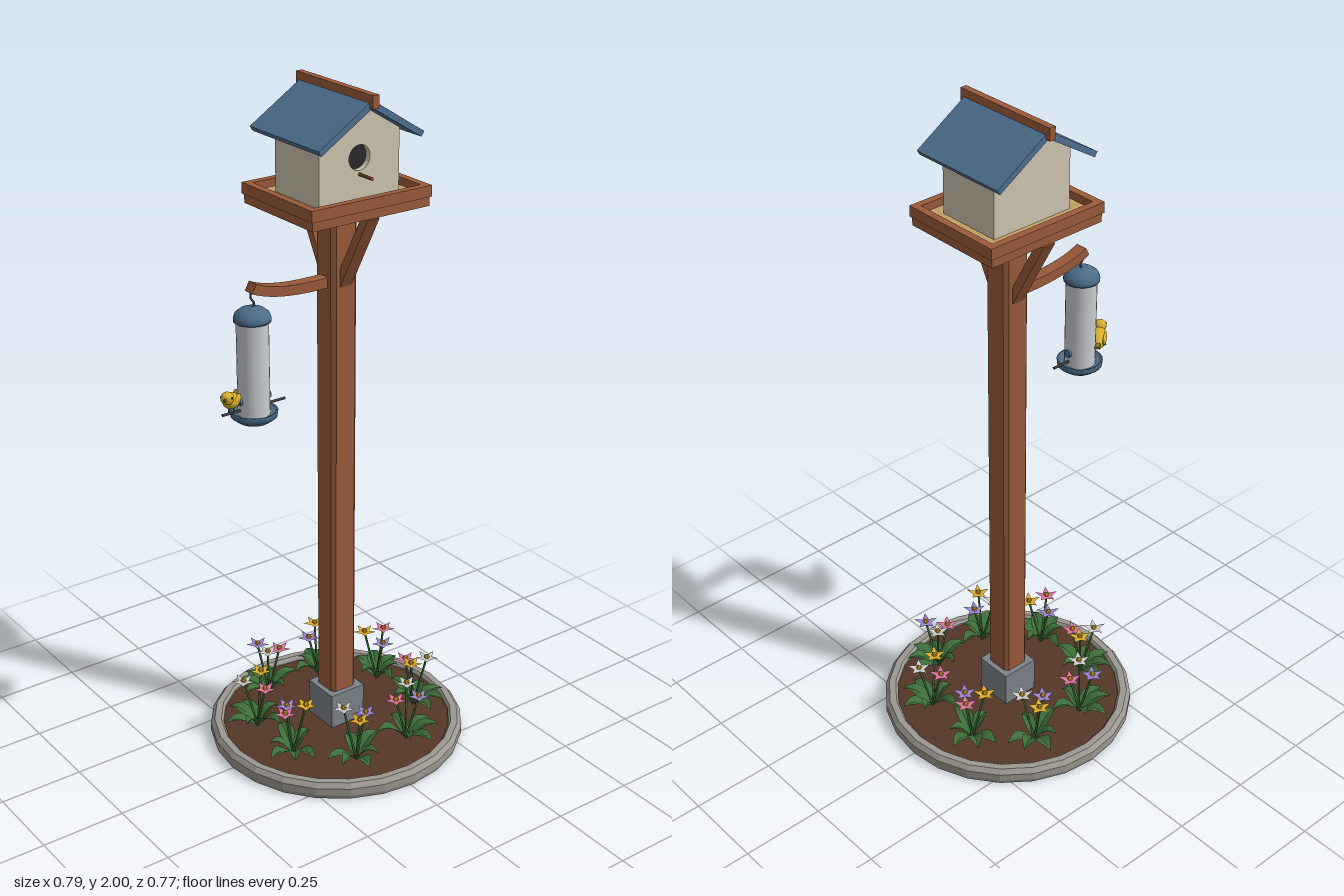
import * as THREE from 'three';

const CX = 0.008; // axis of the post and planter
const mat = (color, extra = {}) => new THREE.MeshStandardMaterial({ color, ...extra });
const flat = { flatShading: true };
const both = { flatShading: true, side: THREE.DoubleSide };
const M = {
  wood: mat(0x9a5b3a, flat), roof: mat(0x4f7090, flat), wall: mat(0xcfc5b0, flat),
  stone: mat(0x9c9891, flat), soil: mat(0x553828, flat), concrete: mat(0x7d838b, flat),
  dark: mat(0x2a2a2c), seed: mat(0xc2a065, flat), metal: mat(0x4b6c88), wire: mat(0x3a3d42),
  glass: mat(0xc9cdd1), bird: mat(0xd9b02c), wing: mat(0x8a7420), beak: mat(0x6a5530),
  leaf: mat(0x3d6e3a, both), stem: mat(0x3f7038),
  pink: mat(0xe0719f, both), purple: mat(0x9a84d6, both), gold: mat(0xe0ae2c, both),
  white: mat(0xcfcfcf, both), heart: mat(0xdba526, flat),
};

function add(parent, name, geo, material, x = 0, y = 0, z = 0) {
  const m = new THREE.Mesh(geo, material);
  m.name = name;
  m.position.set(x, y, z);
  parent.add(m);
  return m;
}
const box = (w, h, d) => new THREE.BoxGeometry(w, h, d);
const cyl = (r1, r2, h, n = 16) => new THREE.CylinderGeometry(r1, r2, h, n);
const lathe = (pts, n) => new THREE.LatheGeometry(pts.map(p => new THREE.Vector2(...p)), n);
const outline = pts => new THREE.Shape(pts.map(p => new THREE.Vector2(...p)));
const extrude = (shape, depth) => new THREE.ExtrudeGeometry(shape, { depth, bevelEnabled: false });

// Folded, arching leaf that grows along +x
function leafGeometry(len, width, rise) {
  const pos = [], idx = [], n = 5;
  for (let i = 0; i <= n; i++) {
    const t = i / n, w = width / 2 * Math.sin(Math.PI * Math.pow(t, 0.8));
    const y = rise * Math.sin(t * 2.1);
    pos.push(len * t, y + w * 0.35, -w, len * t, y, 0, len * t, y + w * 0.35, w);
    if (i < n) for (let j = 0; j < 2; j++) {
      const a = i * 3 + j;
      idx.push(a, a + 1, a + 3, a + 1, a + 4, a + 3);
    }
  }
  return indexed(pos, idx);
}

// Five pointed petals with a raised rib along each one
function bloomGeometry(r) {
  const pos = [0, 0, 0], idx = [];
  for (let i = 0; i < 10; i++) {
    const a = i * Math.PI / 5, tip = i % 2 === 0, q = tip ? r : r * 0.45;
    pos.push(Math.sin(a) * q, tip ? 0.006 : 0, Math.cos(a) * q);
    idx.push(0, 1 + i, 1 + (i + 1) % 10);
  }
  return indexed(pos, idx);
}
function indexed(pos, idx) {
  const g = new THREE.BufferGeometry();
  g.setAttribute('position', new THREE.Float32BufferAttribute(pos, 3));
  g.setIndex(idx);
  g.computeVertexNormals();
  return g;
}

function planter() {
  const g = new THREE.Group();
  g.name = 'planter';
  add(g, 'stoneRing', lathe([[0.345, 0.0], [0.38, 0], [0.384, 0.012], [0.384, 0.035],
    [0.372, 0.049], [0.352, 0.049], [0.345, 0.04], [0.345, 0.0]], 24), M.stone);
  add(g, 'soil', lathe([[0, 0.01], [0.348, 0.01], [0.348, 0.034], [0.2, 0.043], [0, 0.047]], 24), M.soil);
  add(g, 'postFooting', box(0.118, 0.15, 0.118), M.concrete, 0, 0.081, 0);

  // One planting, mirrored into the eight octants
  const leaf = leafGeometry(0.1, 0.048, 0.04), bloom = bloomGeometry(0.037);
  const spots = [[0.109, 0.264, 0.2], [0.056, 0.222, 0.185], [0.117, 0.196, 0.208]];
  const leafAngles = [76, 30, 190, -6, 118, 262];
  const base = [0.093, 0.227];
  const colors = { // keyed by swap, sign of x, sign of z
    '0--': 'purple pink white', '01-': 'gold purple white', '011': 'purple pink white', '0-1': 'gold purple white',
    '11-': 'pink purple gold', '111': 'white pink gold', '1-1': 'pink purple gold', '1--': 'white pink gold',
  };
  for (const swap of [0, 1]) for (const sx of [1, -1]) for (const sz of [1, -1]) {
    const map = (a, b) => swap ? [sx * b, sz * a] : [sx * a, sz * b];
    const key = swap + (sx > 0 ? '1' : '-') + (sz > 0 ? '1' : '-');
    const hues = colors[key].split(' ');
    const plant = new THREE.Group();
    plant.name = 'flowerClump';
    g.add(plant);
    const [bx, bz] = map(...base);
    leafAngles.forEach((deg, i) => {
      const a = deg * Math.PI / 180, [dx, dz] = map(Math.cos(a), Math.sin(a));
      const l = add(plant, 'leaf', leaf, M.leaf, bx, 0.04, bz);
      l.rotation.y = Math.atan2(-dz, dx);
      l.scale.set(i > 3 ? 0.7 : 1, 1 + 0.2 * (i % 3), i > 3 ? 0.8 : 1);
    });
    spots.forEach(([a, b, h], i) => {
      const [x, z] = map(a, b);
      const path = new THREE.QuadraticBezierCurve3(new THREE.Vector3(bx, 0.04, bz),
        new THREE.Vector3((x + bx) / 2, 0.12, (z + bz) / 2), new THREE.Vector3(x, h, z));
      add(plant, 'stem', new THREE.TubeGeometry(path, 5, 0.0035, 5), M.stem);
      const f = add(plant, 'bloom', bloom, M[hues[i]], x, h, z);
      f.rotation.y = Math.PI;
      add(plant, 'bloomHeart', new THREE.IcosahedronGeometry(0.009, 0), M.heart, x, h + 0.004, z);
    });
  }
  return g;
}

function postAndTray() {
  const g = new THREE.Group();
  g.name = 'postAndTray';
  // Chamfered square post
  const a = 0.043, c = 0.032;
  const post = add(g, 'post', extrude(outline([[-c, -a], [c, -a], [a, -c], [a, c], [c, a], [-c, a], [-a, c], [-a, -c]]), 1.53),
    M.wood, 0, 0.14, 0);
  post.rotation.x = -Math.PI / 2;
  // Braces under the front and back of the tray
  const brace = extrude(outline([[0.03, 1.44], [0.03, 1.475], [0.135, 1.667], [0.165, 1.667], [0.043, 1.445]]), 0.04);
  for (const s of [1, -1]) {
    const b = add(g, 'brace', brace, M.wood, -s * 0.02, 0, 0);
    b.rotation.y = -s * Math.PI / 2;
    b.position.x = s * 0.02;
  }
  add(g, 'trayFloor', box(0.386, 0.03, 0.318), M.wood, 0, 1.682, 0);
  add(g, 'seedLayer', box(0.35, 0.008, 0.28), M.seed, 0, 1.699, 0);
  for (const s of [1, -1]) {
    add(g, 'trayRimLong', box(0.396, 0.032, 0.022), M.wood, 0, 1.709, s * 0.152);
    add(g, 'trayRimShort', box(0.022, 0.032, 0.284), M.wood, s * 0.187, 1.709, 0);
  }
  return g;
}

function house() {
  const g = new THREE.Group();
  g.name = 'birdHouse';
  const gable = () => outline([[-0.132, 1.697], [0.132, 1.697], [0.132, 1.885], [0, 1.966], [-0.132, 1.885]]);
  add(g, 'houseBody', extrude(gable(), 0.18), M.wall, 0, 0, -0.098);
  const front = gable();
  front.holes.push(new THREE.Path().absarc(0, 1.82, 0.035, 0, Math.PI * 2, true));
  add(g, 'frontWall', extrude(front, 0.02), M.wall, 0, 0, 0.082);
  add(g, 'entranceHole', new THREE.CircleGeometry(0.036, 24), M.dark, 0, 1.82, 0.084);
  add(g, 'perch', cyl(0.005, 0.005, 0.06, 8), M.wood, 0, 1.775, 0.128).rotation.x = Math.PI / 2;
  // Two roof slopes and the ridge cap
  const slope = outline([[0, 1.963], [0.163, 1.862], [0.172, 1.876], [0, 1.984]]);
  for (const s of [1, -1]) {
    const r = add(g, 'roofSlope', extrude(slope, 0.314), M.roof, 0, 0, -s * 0.157);
    if (s < 0) r.rotation.y = Math.PI;
  }
  add(g, 'ridgeCap', box(0.02, 0.036, 0.342), M.wood, 0, 1.982, 0);
  return g;
}

function feeder() {
  const g = new THREE.Group();
  g.name = 'hangingFeeder';
  const arm = new THREE.Shape();
  arm.moveTo(-0.03, 1.472);
  arm.quadraticCurveTo(-0.2, 1.467, -0.268, 1.502);
  arm.lineTo(-0.282, 1.477);
  arm.quadraticCurveTo(-0.2, 1.438, -0.03, 1.442);
  add(g, 'arm', extrude(arm, 0.036), M.wood, 0, 0, -0.018);
  const x = -0.272;
  const hook = new THREE.CatmullRomCurve3([[x, 1.485], [x - 0.004, 1.46], [x + 0.006, 1.445], [x, 1.425]]
    .map(p => new THREE.Vector3(p[0], p[1], 0)));
  add(g, 'hookWire', new THREE.TubeGeometry(hook, 12, 0.003, 6), M.wire);
  add(g, 'feederCap', lathe([[0, 1.395], [0.052, 1.395], [0.052, 1.404], [0.047, 1.417], [0.033, 1.428], [0.012, 1.434], [0, 1.435]], 24), M.metal, x);
  add(g, 'seedTube', cyl(0.045, 0.045, 0.275, 24), M.glass, x, 1.262, 0);
  add(g, 'feederDish', lathe([[0, 1.103], [0.045, 1.103], [0.065, 1.118], [0.067, 1.134], [0.061, 1.134], [0.056, 1.123], [0, 1.123]], 24), M.metal, x);
  add(g, 'feederPerch', cyl(0.004, 0.004, 0.206, 8), M.wire, x, 1.143, 0).rotation.z = Math.PI / 2;
  for (const s of [1, -1])
    add(g, 'feedPort', cyl(0.012, 0.012, 0.01, 12), M.metal, x + s * 0.046, 1.17, 0).rotation.z = Math.PI / 2;
  return g;
}

// Small bird, built facing +x and turned on its perch
function bird() {
  const g = new THREE.Group();
  g.name = 'bird';
  const ball = new THREE.SphereGeometry(1, 16, 12);
  const body = add(g, 'body', ball, M.bird);
  body.scale.set(0.041, 0.023, 0.023);
  body.rotation.z = 0.3;
  add(g, 'head', ball, M.bird, 0.035, 0.021, 0).scale.setScalar(0.0185);
  add(g, 'beak', new THREE.ConeGeometry(0.006, 0.022, 8), M.beak, 0.06, 0.022, 0).rotation.z = -Math.PI / 2;
  const tail = add(g, 'tail', box(0.045, 0.006, 0.018), M.wing, -0.043, 0.0, 0);
  tail.rotation.z = -0.15;
  for (const s of [1, -1]) {
    const w = add(g, 'wing', ball, M.bird, -0.008, 0.004, s * 0.018);
    w.scale.set(0.03, 0.013, 0.006);
    w.rotation.z = 0.15;
    add(g, 'eye', ball, M.dark, 0.042, 0.026, s * 0.0155).scale.setScalar(0.003);
    add(g, 'leg', cyl(0.002, 0.002, 0.022, 6), M.beak, 0.002, -0.024, s * 0.007);
  }
  g.position.set(-0.343, 1.178, -0.004);
  g.rotation.y = Math.PI + 0.7;
  return g;
}

export function createModel() {
  const model = new THREE.Group();
  model.name = 'birdHouseOnPost';
  for (const part of [planter(), postAndTray(), house()]) {
    part.position.x = CX;
    model.add(part);
  }
  model.add(feeder(), bird());
  return model;
}
